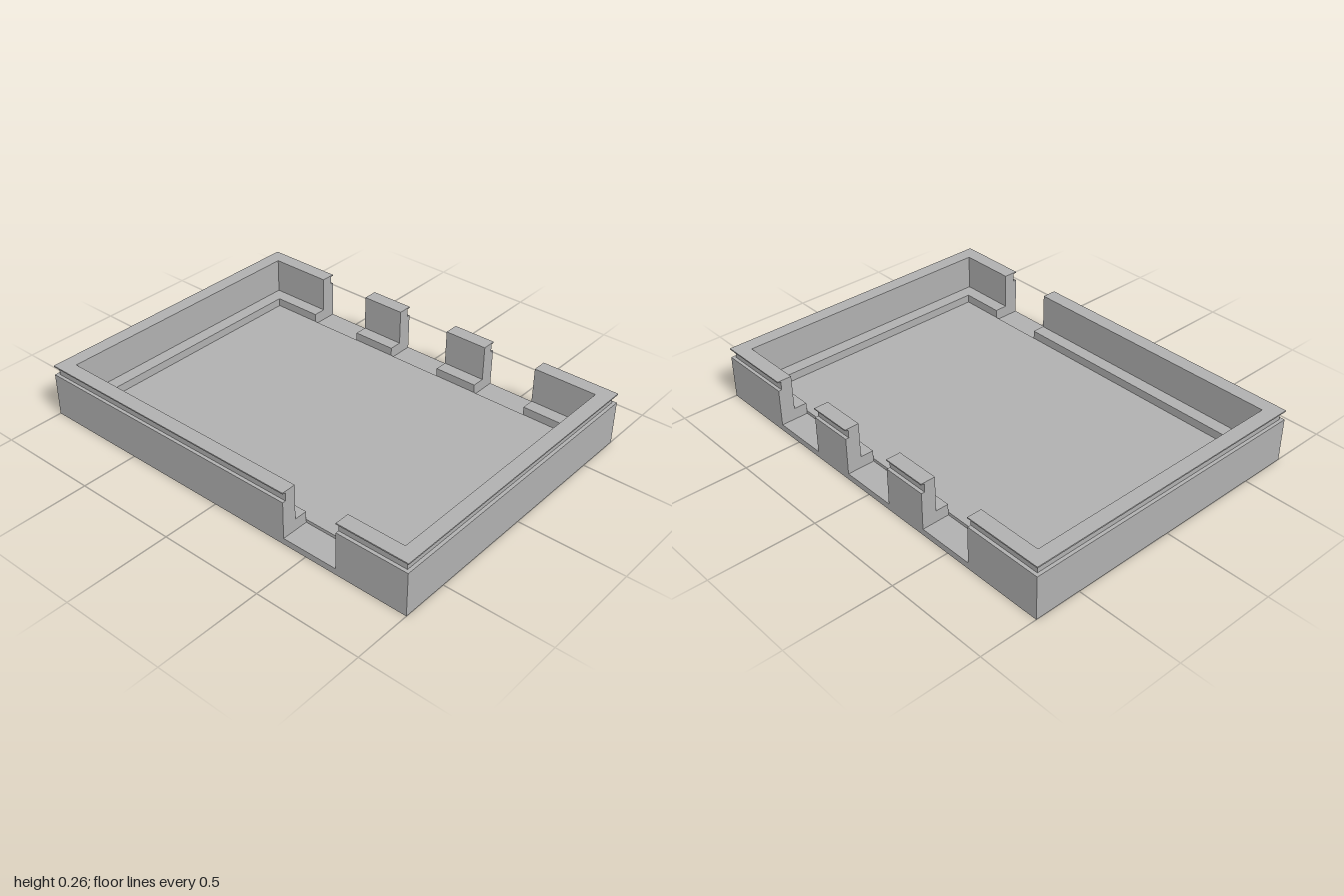
import * as THREE from 'three';

const HX = 0.725, HZ = 1;        // half width and half depth
const CUT = 0.03, FLOOR = 0.045; // notch bottom and tray floor heights
const LEDGE = 0.133;             // inward reach of the inner ledge

// Wall cross-section: [distance inward, height], with outer groove, top lip and inner ledge
const profile = [
  [0, CUT], [0, 0.209], [0.016, 0.209], [0.016, 0.25], [0, 0.25], [0, 0.256],
  [0.07, 0.256], [0.07, 0.085], [LEDGE, 0.085], [LEDGE, CUT],
].map(([u, y]) => new THREE.Vector2(u, y));

// Sweeps the profile along the outline with mitred corners and closed ends
function wallGeometry(path) {
  const rings = path.map(([x, z]) => {
    const sx = Math.abs(x) === HX ? -Math.sign(x) : 0;
    const sz = Math.abs(z) === HZ ? -Math.sign(z) : 0;
    return profile.map(p => [x + sx * p.x, p.y, z + sz * p.x]);
  });
  const pos = [];
  const tri = (a, b, c) => pos.push(...a, ...b, ...c);
  const n = profile.length;
  for (let k = 0; k < rings.length - 1; k++) {
    for (let i = 0; i < n; i++) {
      const j = (i + 1) % n, a = rings[k], b = rings[k + 1];
      tri(a[i], b[i], b[j]);
      tri(a[i], b[j], a[j]);
    }
  }
  // end caps
  const first = rings[0], last = rings[rings.length - 1];
  for (const face of THREE.ShapeUtils.triangulateShape(profile.slice(), [])) {
    const area = THREE.ShapeUtils.area(face.map(i => profile[i]));
    const [a, b, c] = area < 0 ? face : [face[0], face[2], face[1]];
    tri(first[a], first[b], first[c]);
    tri(last[a], last[c], last[b]);
  }
  const g = new THREE.BufferGeometry();
  g.setAttribute('position', new THREE.Float32BufferAttribute(pos, 3));
  g.computeVertexNormals();
  return g;
}

export function createModel() {
  const model = new THREE.Group();
  model.name = 'tray';
  const grey = new THREE.MeshStandardMaterial({ color: 0xb0b0b0 });
  grey.name = 'grey';

  const add = (name, geometry, y = 0) => {
    const mesh = new THREE.Mesh(geometry, grey);
    mesh.name = name;
    mesh.position.y = y;
    model.add(mesh);
  };

  // bottom slab and raised tray floor
  add('baseSlab', new THREE.BoxGeometry(2 * HX, CUT, 2 * HZ), CUT / 2);
  add('trayFloor',
    new THREE.BoxGeometry(2 * (HX - LEDGE), FLOOR - CUT, 2 * (HZ - LEDGE)), (FLOOR + CUT) / 2);

  // wall sections between the notches
  add('frontWall', wallGeometry([[-HX, 0.655], [-HX, HZ], [HX, HZ], [HX, 0.622]]));
  add('frontPost', wallGeometry([[HX, 0.352], [HX, 0.137]]));
  add('backPost', wallGeometry([[HX, -0.135], [HX, -0.352]]));
  add('backWall', wallGeometry([[HX, -0.622], [HX, -HZ], [-HX, -HZ], [-HX, 0.384]]));

  return model;
}
